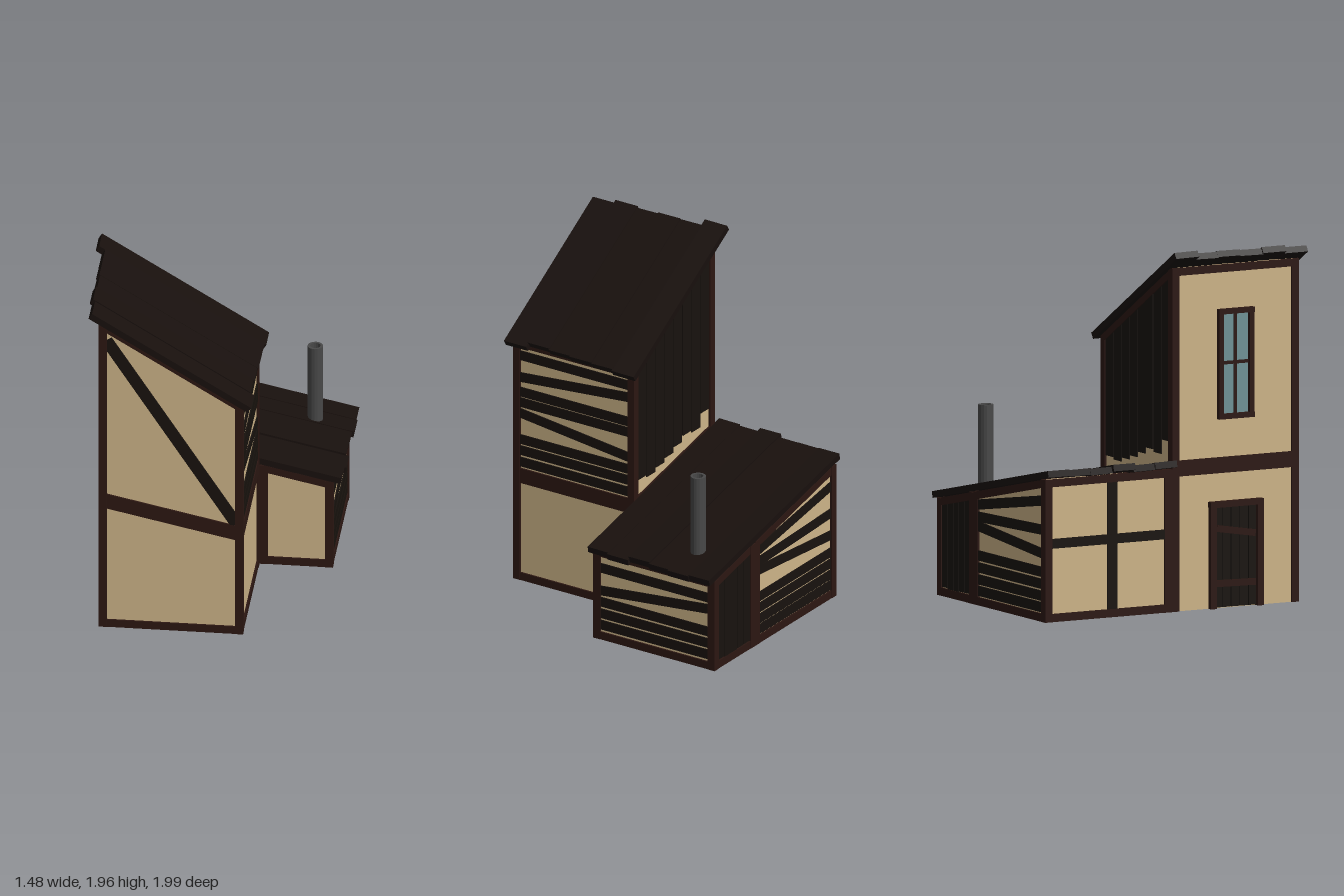
import * as THREE from 'three';

const mat = (color) => new THREE.MeshStandardMaterial({ color, flatShading: true, roughness: 1 });
const V = (x, y, z) => new THREE.Vector3(x, y, z);

export function createModel() {
  const model = new THREE.Group();
  const house = new THREE.Group();
  house.name = 'house';
  house.rotation.y = THREE.MathUtils.degToRad(25);
  model.add(house);

  const timber = mat(0x2c1712), board = mat(0x18120e), shingle = mat(0x18100d);
  const plaster = mat(0xcdb488), glass = mat(0x6f9296), iron = mat(0x484848);
  const FRONT = V(0, 0, 1), SIDE = V(1, 0, 0);
  const POST = 0.044;

  // Plan lines and sloping levels of the floors
  const XL = -0.41, XM = 0.327, XE = XM + POST, XR = 0.723;
  const ZF = 0.813, ZM = 0.073, ZN = ZM - POST, ZB = -0.712;
  const ground = () => 0;
  const floorTop = (x) => 0.775 - 0.217 * (x - XL);
  const towerTop = (x) => 1.865 - 0.61 * (x - XL);

  let seed = 7;
  const rand = () => (seed = (seed * 16807) % 2147483647) / 2147483647;

  function add(name, geometry, material) {
    const mesh = new THREE.Mesh(geometry, material);
    mesh.name = name;
    house.add(mesh);
    return mesh;
  }

  // Timber from p to q, lying in the wall with normal n; w across, d through the wall
  function beam(name, material, p, q, n, w, d) {
    const dir = q.clone().sub(p);
    const mesh = add(name, new THREE.BoxGeometry(dir.length(), w, d), material);
    dir.normalize();
    const side = n.clone().cross(dir).normalize();
    const m = new THREE.Matrix4().makeBasis(dir, side, dir.clone().cross(side));
    mesh.quaternion.setFromRotationMatrix(m);
    mesh.position.copy(p).add(q).multiplyScalar(0.5);
    return mesh;
  }

  // Plaster filling of a wall that runs along x, with sloping top and bottom
  function panelX(x0, x1, z, bot, top) {
    const s = new THREE.Shape([[x0, bot(x0)], [x1, bot(x1)], [x1, top(x1)], [x0, top(x0)]]
      .map(([x, y]) => new THREE.Vector2(x, y)));
    const g = new THREE.ExtrudeGeometry(s, { depth: 0.02, bevelEnabled: false });
    add('plasterPanel', g.translate(0, 0, z - 0.01), plaster);
  }
  // Plaster filling of a wall that runs along z
  function panelZ(x, z0, z1, bot, top) {
    beam('plasterPanel', plaster, V(x, (bot(x) + top(x)) / 2, z0), V(x, (bot(x) + top(x)) / 2, z1),
      SIDE, top(x) - bot(x), 0.02);
  }

  // One timber-framed storey; walls lists filled sides, sills lists sides with a bottom beam
  function storey(x0, x1, z0, z1, bot, top, walls, sills) {
    for (const x of [x0, x1]) for (const z of [z0, z1])
      beam('cornerPost', timber, V(x, bot(x), z), V(x, top(x), z), FRONT, POST, POST);
    const sides = {
      front: [x0, z1, x1, z1], back: [x0, z0, x1, z0], left: [x0, z0, x0, z1], right: [x1, z0, x1, z1],
    };
    for (const [key, [ax, az, bx, bz]] of Object.entries(sides)) {
      const n = az === bz ? FRONT : SIDE;
      beam('topBeam', timber, V(ax, top(ax) - 0.021, az), V(bx, top(bx) - 0.021, bz), n, 0.042, 0.04);
      if (sills.includes(key))
        beam('sillBeam', timber, V(ax, bot(ax) + 0.022, az), V(bx, bot(bx) + 0.022, bz), n, 0.044, 0.04);
      if (!walls.includes(key)) continue;
      if (n === FRONT) panelX(ax, bx, az, bot, top);
      else panelZ(ax, az, bz, bot, top);
    }
  }
  const all = ['front', 'back', 'left', 'right'];
  storey(XL, XM, ZM, ZF, floorTop, towerTop, all, all);
  storey(XL, XM, ZM, ZF, ground, floorTop, ['front', 'left', 'right'], ['front', 'right']);
  storey(XL, XM, ZB, ZN, ground, floorTop, ['back', 'left'], ['back', 'left']);
  storey(XE, XR, ZB, ZN, ground, floorTop, ['front', 'back', 'right'], ['front', 'back', 'right']);

  // Roofs: six uneven planks running down the slope
  function roof(name, x0, x1, z0, z1, level) {
    const n = 6, w = (z1 - z0) / n;
    for (let i = 0; i < n; i++) {
      const a = x0 - 0.02 + rand() * 0.045, b = x1 + (rand() - 0.5) * 0.025;
      const z = z0 + w * (i + 0.5), lift = 0.016 + rand() * 0.012;
      const p = beam(name, shingle, V(a, level(a) + lift, z), V(b, level(b) + lift, z),
        V(0, 1, 0), w * 1.03, 0.036);
      p.rotateX((rand() - 0.5) * 0.06);
    }
  }
  roof('towerRoofPlank', -0.495, 0.378, 0.025, 0.86, towerTop);
  roof('lowRoofPlank', -0.485, 0.79, -0.732, 0.052, floorTop);

  // Diagonal brace on the tall front wall
  beam('diagonalBrace', board, V(XL + 0.02, 1.76, ZF + 0.002), V(XM - 0.015, 0.675, ZF + 0.002), FRONT, 0.066, 0.034);

  // Rough horizontal boards: each entry is the height at the near and far end
  const boardsZ = (x, z0, z1, rows) => rows.forEach(([a, b]) =>
    beam('wallBoard', board, V(x, a, z1 - 0.012), V(x, b, z0 + 0.012), SIDE, 0.055, 0.034));
  boardsZ(XM, ZM, ZF, [[1.325, 1.325], [1.195, 1.255], [1.11, 1.11], [1.048, 1.048],
    [0.985, 0.9], [0.83, 0.83], [0.765, 0.765], [0.697, 0.697]]);
  boardsZ(XR, ZB, ZN, [[0.42, 0.42], [0.285, 0.355], [0.22, 0.22], [0.152, 0.152], [0.085, 0.085]]);
  for (const [a, b] of [[0.66, 0.545], [0.5, 0.48], [0.37, 0.43], [0.27, 0.27], [0.205, 0.205], [0.14, 0.14], [0.078, 0.078]])
    beam('wallBoard', board, V(XL + 0.012, a, ZB), V(XM - 0.012, b, ZB), FRONT, 0.055, 0.034);

  // Upright boards with ragged feet
  function uprights(x0, x1, z, n, foot, top, rag) {
    const w = (x1 - x0 - POST) / n;
    for (let i = 0; i < n; i++) {
      const x = x0 + POST / 2 + w * (i + 0.5);
      beam('uprightBoard', board, V(x, foot(x) + rag * rand(), z), V(x, top(x) - 0.02, z),
        FRONT, w * 0.93, 0.03 + rand() * 0.006);
    }
  }
  uprights(XL, XM, ZM, 8, (x) => floorTop(x) + 0.06, towerTop, 0.11);
  uprights(XE, XR, ZB, 5, () => 0.03, floorTop, 0.02);

  // Crossed boards on the low left wall
  const zc = (ZB + ZN) / 2 + 0.025;
  beam('crossUpright', board, V(XL, 0.04, zc), V(XL, 0.745, zc), SIDE, 0.06, 0.036);
  beam('crossBar', board, V(XL - 0.002, 0.425, ZB + 0.01), V(XL - 0.002, 0.425, ZN - 0.01), SIDE, 0.052, 0.036);

  // Tall window: frame, mullions and pane
  const zw = (ZM + ZF) / 2;
  const wy0 = 1.04, wy1 = 1.61, wh = 0.095, xw = XL - 0.012;
  for (const s of [-1, 1])
    beam('windowJamb', timber, V(xw, wy0, zw + s * wh), V(xw, wy1, zw + s * wh), SIDE, 0.028, 0.05);
  for (const y of [wy0, wy1])
    beam('windowRail', timber, V(xw, y, zw - wh - 0.014), V(xw, y, zw + wh + 0.014), SIDE, 0.028, 0.052);
  beam('windowPane', glass, V(XL, wy0, zw), V(XL, wy1, zw), SIDE, wh * 2, 0.026);
  beam('windowMullion', timber, V(XL - 0.01, wy0, zw), V(XL - 0.01, wy1, zw), SIDE, 0.016, 0.02);
  beam('windowCrossbar', timber, V(XL - 0.01, 1.33, zw - wh), V(XL - 0.01, 1.33, zw + wh), SIDE, 0.018, 0.02);

  // Door: frame, upright planks and two battens
  const dh = 0.145, doorTop = 0.565;
  for (const s of [-1, 1])
    beam('doorJamb', timber, V(xw, 0, zw + s * dh), V(xw, doorTop, zw + s * dh), SIDE, 0.035, 0.06);
  beam('doorLintel', timber, V(xw, doorTop, zw - dh - 0.018), V(xw, doorTop, zw + dh + 0.018), SIDE, 0.032, 0.062);
  for (let i = 0; i < 5; i++) {
    const z = zw + (i - 2) * 0.054;
    beam('doorPlank', board, V(XL, 0.004, z), V(XL, doorTop - 0.01 - rand() * 0.012, z), SIDE, 0.05, 0.034 + rand() * 0.006);
  }
  beam('doorBatten', timber, V(XL - 0.022, 0.435, zw - 0.12), V(XL - 0.022, 0.395, zw + 0.12), SIDE, 0.036, 0.016);
  beam('doorBatten', timber, V(XL - 0.022, 0.135, zw - 0.12), V(XL - 0.022, 0.13, zw + 0.12), SIDE, 0.036, 0.016);

  // Hollow stove pipe on the low roof
  const pipe = [[0.028, 0], [0.042, 0], [0.042, 0.5], [0.028, 0.5], [0.028, 0]].map(([r, y]) => new THREE.Vector2(r, y));
  const chimney = add('chimney', new THREE.LatheGeometry(pipe, 16), iron);
  chimney.position.set(0.585, 0.54, -0.521);

  return model;
}
